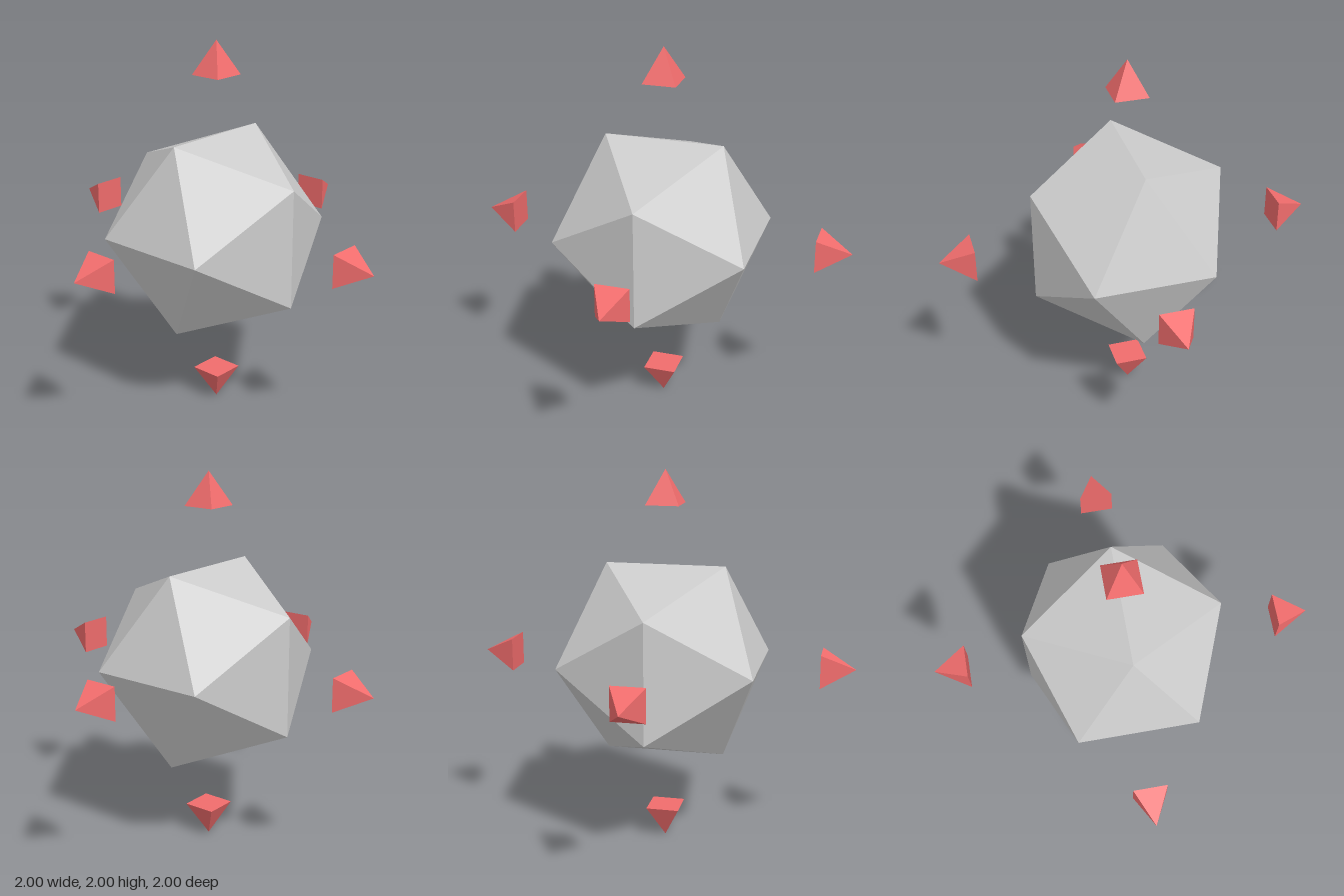
import * as THREE from 'three';

export function createModel() {
  const model = new THREE.Group();
  const grey = new THREE.MeshStandardMaterial({ color: 0xcccccc, flatShading: true });
  const red = new THREE.MeshStandardMaterial({ color: 0xf06c6c, flatShading: true });

  // Twenty-sided core
  const core = new THREE.Mesh(new THREE.IcosahedronGeometry(0.6, 0), grey);
  core.name = 'core';
  core.position.y = 1;
  model.add(core);

  // Square pyramids floating on the six axes, points outward
  const height = 0.177;
  const pyramid = new THREE.ConeGeometry(0.0875 * Math.SQRT2, height, 4);
  pyramid.rotateY(Math.PI / 4);
  pyramid.translate(0, 1 - height / 2, 0);

  const up = new THREE.Vector3(0, 1, 0);
  const directions = {
    left: [1, 0, 0], right: [-1, 0, 0],
    top: [0, 1, 0], bottom: [0, -1, 0],
    front: [0, 0, 1], back: [0, 0, -1],
  };
  for (const [side, dir] of Object.entries(directions)) {
    const spike = new THREE.Mesh(pyramid, red);
    spike.name = side + 'Pyramid';
    spike.quaternion.setFromUnitVectors(up, new THREE.Vector3(...dir));
    spike.position.y = 1;
    model.add(spike);
  }
  return model;
}
